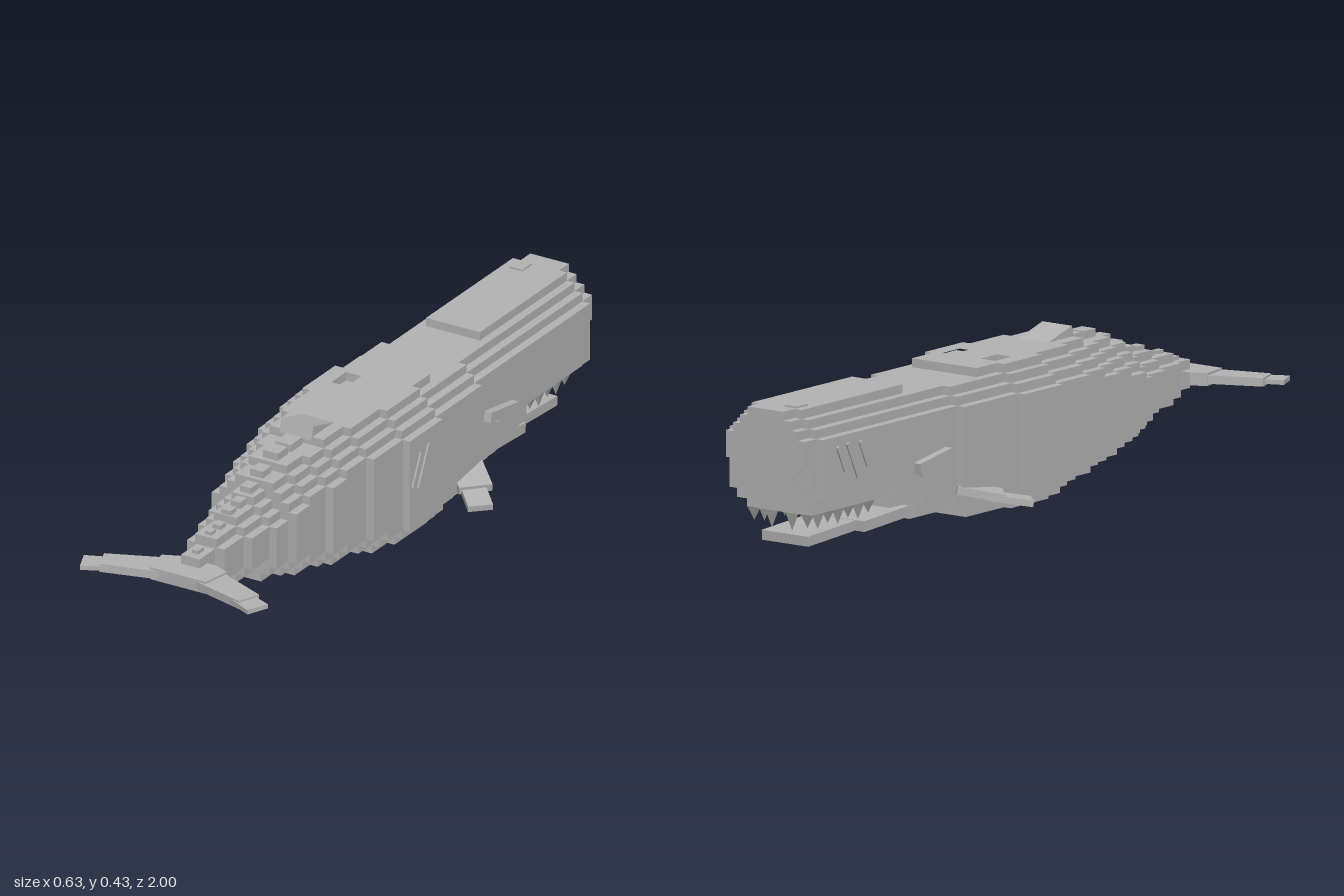
import * as THREE from 'three';

const skin = new THREE.MeshStandardMaterial({ color: 0xb3b3b3 });
skin.name = 'grey skin';
const STEP = 0.025;

export function createModel() {
  const whale = new THREE.Group();
  whale.name = 'whale';

  const add = (name, geometry) => {
    const mesh = new THREE.Mesh(geometry, skin);
    mesh.name = name;
    whale.add(mesh);
    return mesh;
  };
  // Box given by its limits
  const box = (name, x0, x1, y0, y1, z0, z1) => {
    const m = add(name, new THREE.BoxGeometry(x1 - x0, y1 - y0, z1 - z0));
    m.position.set((x0 + x1) / 2, (y0 + y1) / 2, (z0 + z1) / 2);
    return m;
  };
  // Flat bar running from point a to point b
  const bar = (name, a, b, width, thickness) => {
    const p = new THREE.Vector3(...a), q = new THREE.Vector3(...b);
    const m = add(name, new THREE.BoxGeometry(width, thickness, p.distanceTo(q)));
    m.position.copy(p).lerp(q, 0.5);
    m.lookAt(q);
    return m;
  };
  // Slice of the body with stair-stepped corners
  const slice = (name, z0, z1, w, bottom, top, upSteps = 3, downSteps = 2) => {
    const limit = Math.max(0, Math.floor(w / STEP) - 1);
    const up = Math.min(upSteps, limit), down = Math.min(downSteps, limit);
    const right = [];
    for (let i = down; i >= 0; i--) {
      const y = bottom + (down - i) * STEP;
      right.push([w - i * STEP, y]);
      if (i > 0) right.push([w - i * STEP, y + STEP]);
    }
    for (let i = 0; i <= up; i++) {
      const y = top - (up - i) * STEP;
      if (i > 0) right.push([w - i * STEP, y - STEP]);
      right.push([w - i * STEP, y]);
    }
    const left = right.map(([x, y]) => [-x, y]).reverse();
    const shape = new THREE.Shape([...right, ...left].map(p => new THREE.Vector2(...p)));
    const g = new THREE.ExtrudeGeometry(shape, { depth: z1 - z0, bevelEnabled: false });
    return add(name, g.translate(0, 0, z0));
  };
  // Horizontal plate from (x, z) points, with optional holes
  const plate = (name, points, y0, y1, holes = []) => {
    const toV = p => new THREE.Vector2(p[0], -p[1]);
    const shape = new THREE.Shape(points.map(toV));
    holes.forEach(h => shape.holes.push(new THREE.Path(h.map(toV))));
    const g = new THREE.ExtrudeGeometry(shape, { depth: y1 - y0, bevelEnabled: false });
    return add(name, g.rotateX(-Math.PI / 2).translate(0, y0, 0));
  };

  // Head
  slice('snout', -1, -0.95, 0.137, 0.2, 0.4, 3, 2);
  slice('snoutBase', -0.97, -0.95, 0.137, 0.155, 0.375, 2, 1);
  slice('head', -0.95, -0.62, 0.162, 0.13, 0.4, 3, 1);
  slice('headRear', -0.62, -0.5, 0.162, 0.08, 0.4, 3, 1);
  box('upperGum', -0.11, 0.11, 0.105, 0.16, -0.94, -0.6);
  box('blowhole', -0.062, -0.02, 0.39, 0.405, -0.94, -0.89);

  // Trunk, thickest in the middle
  slice('neck', -0.5, -0.35, 0.162, 0.027, 0.375, 2);
  slice('shoulder', -0.35, -0.28, 0.187, 0.027, 0.375, 2);
  slice('chest', -0.28, -0.11, 0.187, 0, 0.375, 2);
  slice('belly', -0.11, 0.06, 0.21, 0, 0.375, 2);
  slice('waist', 0.06, 0.14, 0.187, 0, 0.375, 2);
  slice('hip', 0.14, 0.21, 0.187, 0.027, 0.4);

  // Back plate with two square pits
  const pit = s => [[s * 0.04, -0.09], [s * 0.09, -0.09], [s * 0.09, -0.015], [s * 0.04, -0.015]];
  plate('backPlate', [[-0.112, -0.2], [0.112, -0.2], [0.112, -0.11], [0.137, -0.11], [0.137, 0.06],
    [0.112, 0.06], [0.112, 0.14], [-0.112, 0.14], [-0.112, 0.06], [-0.137, 0.06], [-0.137, -0.11],
    [-0.112, -0.11]], 0.375, 0.4, [pit(1), pit(-1)]);

  // Tapering tail: z0, z1, half width, bottom, top
  [[0.21, 0.31, 0.162, 0.027, 0.4], [0.31, 0.38, 0.162, 0.05, 0.375],
    [0.38, 0.46, 0.137, 0.05, 0.375], [0.46, 0.53, 0.137, 0.077, 0.35],
    [0.53, 0.59, 0.11, 0.077, 0.325], [0.59, 0.68, 0.087, 0.105, 0.3],
    [0.68, 0.78, 0.06, 0.13, 0.275], [0.78, 0.86, 0.03, 0.165, 0.245],
  ].forEach(s => slice('tailSection', ...s));

  // Dorsal fin wedge, rising to the rear
  const wedge = new THREE.Shape([[-0.2, 0.39], [-0.2, 0.4], [-0.305, 0.43], [-0.315, 0.39]]
    .map(p => new THREE.Vector2(...p)));
  add('dorsalFin', new THREE.ExtrudeGeometry(wedge, { depth: 0.102, bevelEnabled: false })
    .rotateY(Math.PI / 2).translate(-0.051, 0, 0));

  // Knobs along the spine: z, half width, half length, top
  [[0.35, 0.025, 0.03, 0.397], [0.42, 0.024, 0.026, 0.397], [0.495, 0.02, 0.023, 0.37],
    [0.555, 0.018, 0.02, 0.343], [0.61, 0.015, 0.018, 0.32], [0.66, 0.015, 0.016, 0.313],
    [0.71, 0.013, 0.014, 0.288], [0.755, 0.01, 0.012, 0.285], [0.82, 0.01, 0.016, 0.256],
  ].forEach(([z, w, l, top]) => box('spineKnob', -w, w, top - 0.03, top, z - l, z + l));

  // Lower jaw
  bar('lowerJawRear', [0, 0.05, -0.48], [0, 0.037, -0.7], 0.22, 0.03);
  bar('lowerJawFront', [0, 0.038, -0.68], [0, 0.025, -0.912], 0.16, 0.028);

  // Upper teeth
  const tooth = (x, z, length) => {
    const m = add('tooth', new THREE.ConeGeometry(0.02, length, 4).toNonIndexed());
    m.geometry.computeVertexNormals();
    m.rotation.set(Math.PI, Math.PI / 4, 0);
    m.position.set(x, 0.108 - length / 2, z);
  };
  for (const s of [1, -1]) {
    for (let i = 0; i < 7; i++) tooth(s * 0.092, -0.66 - i * 0.045, 0.04 + (i % 2) * 0.01);
    tooth(s * 0.035, -0.925, 0.055);
  }

  // Paired brows, eyes and flippers
  for (const s of [1, -1]) {
    const brow = box('brow', -0.015, 0.015, -0.015, 0.015, -0.072, 0.072);
    brow.position.set(s * 0.17, 0.193, -0.472);
    brow.rotation.x = -0.16;
    const eye = box('eye', -0.01, 0.01, -0.012, 0.012, -0.035, 0.035);
    eye.position.set(s * 0.166, 0.173, -0.49);
    eye.rotation.x = -0.16;
    bar('flipper', [s * 0.14, 0.092, -0.33], [s * 0.235, 0.066, -0.24], 0.095, 0.022);
    bar('flipperTip', [s * 0.2, 0.067, -0.27], [s * 0.288, 0.046, -0.18], 0.07, 0.018);
  }

  // Tail flukes
  plate('flukeCentre', [[-0.06, 0.82], [0.06, 0.82], [0.105, 0.84], [0.09, 0.925],
    [-0.09, 0.925], [-0.105, 0.84]], 0.182, 0.218);
  for (const s of [1, -1]) {
    const side = pts => pts.map(([x, z]) => [s * x, z]);
    plate('fluke', side([[0.05, 0.82], [0.25, 0.905], [0.225, 0.97], [0.06, 0.925]]), 0.188, 0.212);
    plate('flukeTip', side([[0.2, 0.895], [0.297, 0.935], [0.27, 0.998], [0.18, 0.955]]), 0.194, 0.207);
  }

  // Scars on the flanks: x, y, z, length
  [[0.212, 0.225, -0.01, 0.13], [0.212, 0.225, 0.025, 0.1], [-0.163, 0.26, -0.77, 0.08],
    [-0.163, 0.25, -0.82, 0.11], [-0.163, 0.26, -0.87, 0.08],
  ].forEach(([x, y, z, l]) => {
    const scar = box('scar', -0.003, 0.003, -l / 2, l / 2, -0.006, 0.006);
    scar.position.set(x, y, z);
    scar.rotation.x = -0.45;
  });

  return whale;
}
